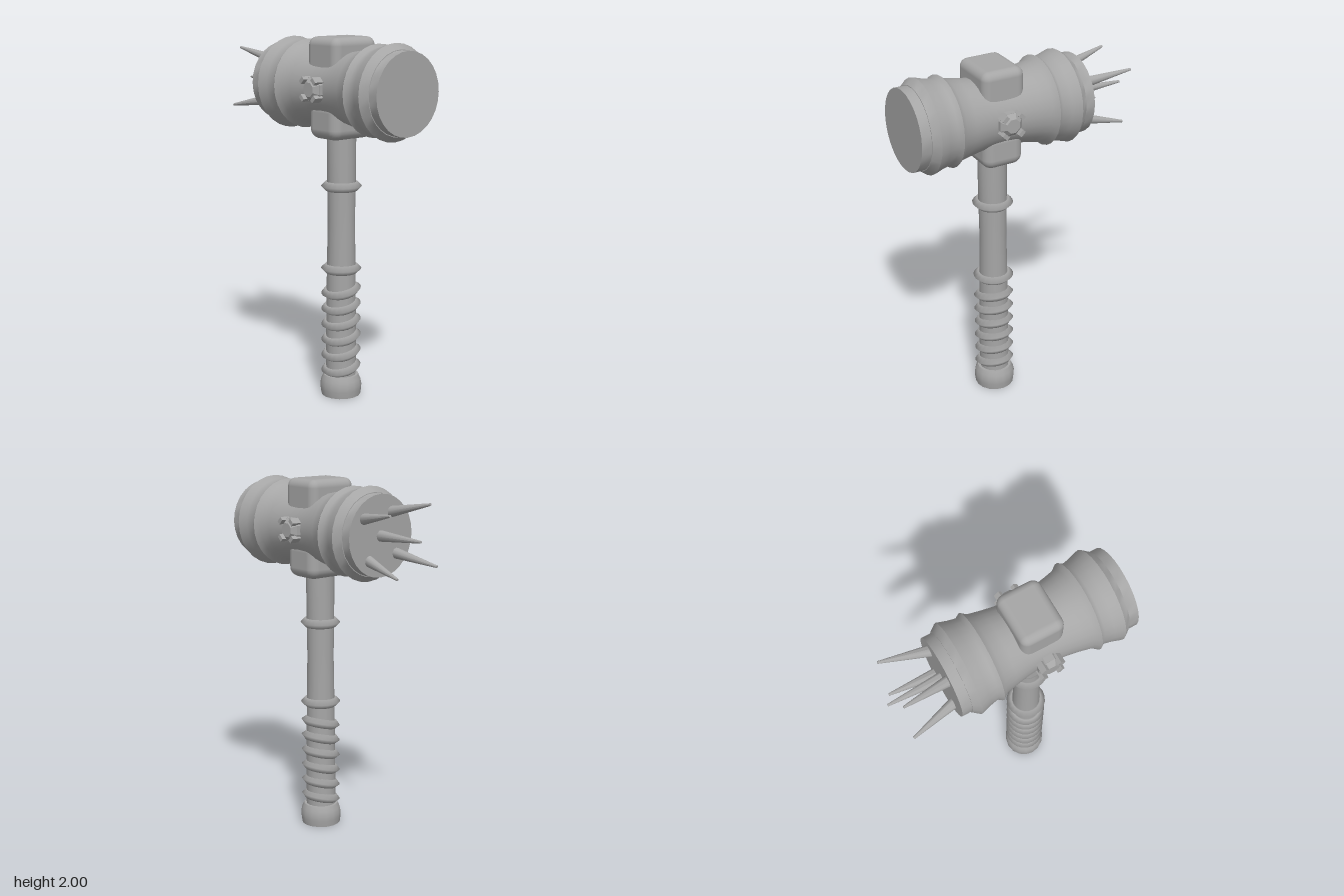
import * as THREE from 'three';
import { toCreasedNormals } from 'three/addons/utils/BufferGeometryUtils.js';
import { RoundedBoxGeometry } from 'three/addons/geometries/RoundedBoxGeometry.js';

const CX = 0.146; // axis of the handle and middle of the head
const HY = 1.73; // height of the head axis

export function createModel() {
  const hammer = new THREE.Group();
  hammer.name = 'warHammer';
  const metal = new THREE.MeshStandardMaterial({ color: 0xa6a6a6 });
  metal.name = 'grey metal';

  function add(parent, name, geometry, x = 0, y = 0, z = 0) {
    const mesh = new THREE.Mesh(geometry, metal);
    mesh.name = name;
    mesh.position.set(x, y, z);
    parent.add(mesh);
    return mesh;
  }
  const lathe = (profile, sides, crease = 0.8) =>
    toCreasedNormals(new THREE.LatheGeometry(profile.map(([r, y]) => new THREE.Vector2(r, y)), sides), crease);

  // Head: waisted barrel with beads, flares and end discs, mirrored about its middle
  const half = [
    [0, 0.505], [0.22, 0.505], [0.22, 0.45], [0.224, 0.45], [0.255, 0.41], [0.238, 0.355], [0.228, 0.305],
    [0.245, 0.28], [0.222, 0.25], [0.209, 0.19], [0.197, 0.12], [0.19, 0.06],
  ];
  const headProfile = [
    ...half.map(([r, y]) => [r, -y]), [0.188, 0], ...half.slice().reverse(),
  ];
  add(hammer, 'head', lathe(headProfile, 28, 0.9), 0.15, HY).rotation.z = -Math.PI / 2;

  // Rounded blocks above and below the head
  add(hammer, 'topBlock', new RoundedBoxGeometry(0.242, 0.2, 0.3, 3, 0.045), CX, 1.9);
  add(hammer, 'bottomBlock', new RoundedBoxGeometry(0.23, 0.2, 0.3, 3, 0.055), CX, 1.555);

  // Spikes: one in the centre and four splayed around it, as [y, z] of the tip
  const spikes = [[0, 0], [0.178, 0.11], [0.14, -0.17], [-0.148, 0.165], [-0.185, -0.115]];
  spikes.forEach(([y, z], i) => {
    const base = new THREE.Vector3(-0.33, HY + y * 0.66, z * 0.66);
    const tip = new THREE.Vector3(i === 0 ? -0.655 : -0.608, HY + y, z);
    const dir = tip.clone().sub(base);
    const spike = add(hammer, 'spike', toCreasedNormals(new THREE.CylinderGeometry(0.007, 0.032, dir.length(), 10), 0.9));
    spike.position.copy(base).addScaledVector(dir, 0.5);
    spike.quaternion.setFromUnitVectors(new THREE.Vector3(0, 1, 0), dir.normalize());
  });

  // Faceted gems in pronged settings, front and back
  for (const turn of [0, Math.PI]) {
    const gem = new THREE.Group();
    gem.name = turn ? 'backGem' : 'frontGem';
    gem.position.set(CX, HY, 0);
    gem.rotation.y = turn;
    hammer.add(gem);
    const octagon = (r1, r2, depth) => toCreasedNormals(
      new THREE.CylinderGeometry(r1, r2, depth, 8).rotateY(Math.PI / 8).rotateX(Math.PI / 2), 0.3);
    add(gem, 'gemSetting', octagon(0.068, 0.068, 0.045), 0, 0, 0.188);
    add(gem, 'gemStone', octagon(0.04, 0.066, 0.025), 0, 0, 0.223);
    for (let i = 0; i < 4; i++) {
      const a = Math.PI / 4 + (i * Math.PI) / 2;
      const prong = add(gem, 'gemProng', new THREE.BoxGeometry(0.022, 0.036, 0.055),
        0.066 * Math.cos(a), 0.066 * Math.sin(a), 0.215);
      prong.rotation.z = a;
    }
  }

  // Handle shaft, slightly waisted
  add(hammer, 'shaft', lathe([
    [0.084, 0.08], [0.084, 0.3], [0.08, 0.7], [0.075, 1.0], [0.078, 1.2], [0.08, 1.5],
  ], 16), CX);

  // Two level collars, then the tilted rings of the grip
  const ring = (name, y, tilt) => {
    const geo = new THREE.TorusGeometry(0.086, 0.026, 4, 20).rotateX(Math.PI / 2);
    add(hammer, name, geo, CX, y).rotation.x = tilt;
  };
  ring('collar', 1.192, 0);
  ring('collar', 0.73, 0);
  for (let i = 0; i < 6; i++) ring('gripRing', 0.157 + i * 0.0895, 0.23);

  // Pommel
  add(hammer, 'pommel', lathe([
    [0, 0], [0.11, 0], [0.115, 0.035], [0.116, 0.06], [0.11, 0.09], [0.098, 0.117], [0, 0.117],
  ], 16), CX);

  return hammer;
}
